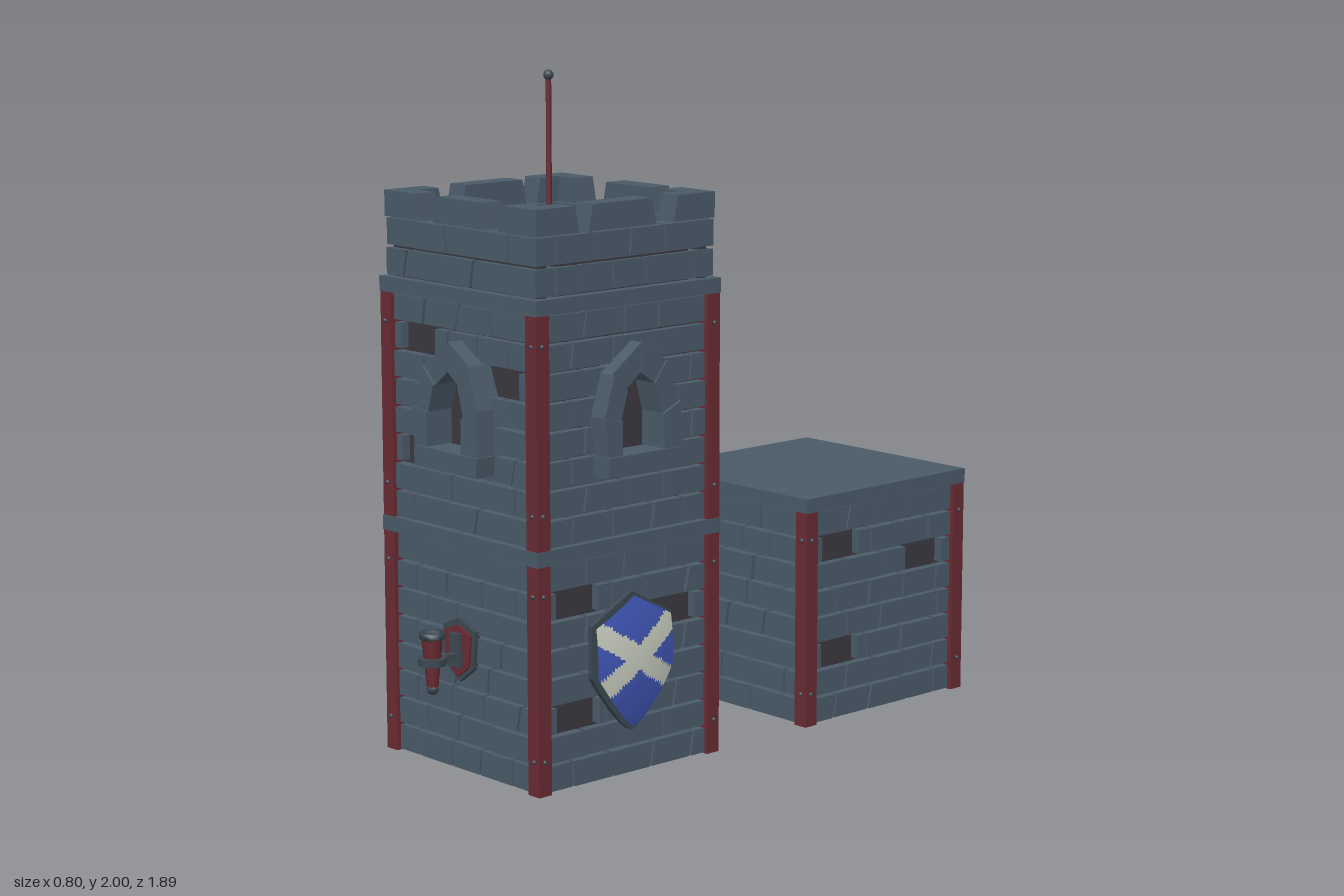
import * as THREE from 'three';
import { mergeGeometries } from 'three/addons/utils/BufferGeometryUtils.js';

const mat = (name, color, extra = {}) => Object.assign(new THREE.MeshStandardMaterial({ color, ...extra }), { name });

export function createModel() {
  const M = {
    stone: mat('slate stone', 0x4a5a68), red: mat('dark red', 0x6a2b33),
    dark: mat('dark recess', 0x3c383f), iron: mat('iron', 0x3c4852),
    blue: mat('blue', 0x4055b5, { side: THREE.DoubleSide }), cream: mat('cream', 0xc8ccbe, { side: THREE.DoubleSide }),
  };
  let seed = 7;
  const rnd = (a, b) => {
    seed = (seed * 16807) % 2147483647;
    return a + (b - a) * seed / 2147483647;
  };
  const add = (parent, name, geo, material, x = 0, y = 0, z = 0) => {
    const m = new THREE.Mesh(geo, material);
    m.name = name;
    m.position.set(x, y, z);
    parent.add(m);
    return m;
  };
  const group = (parent, name, x = 0, y = 0, z = 0) => {
    const g = new THREE.Group();
    g.name = name;
    g.position.set(x, y, z);
    parent.add(g);
    return g;
  };
  const box = (w, h, d) => new THREE.BoxGeometry(w, h, d);
  // Flat polygon extruded from z0 to z1
  const slabOf = (pts, z0, z1) => new THREE.ExtrudeGeometry(
    new THREE.Shape(pts.map(p => new THREE.Vector2(p[0], p[1]))),
    { depth: z1 - z0, bevelEnabled: false }).translate(0, 0, z0);
  const side = (parent, name, i) => {
    const g = group(parent, name);
    g.rotation.y = i * Math.PI / 2;
    return g;
  };
  const SIDES = ['front', 'right', 'back', 'left'];

  // One course of bricks with slanted, staggered joints; holes are [u0, u1]
  function course(out, y0, y1, uA, uB, z0, z1, shift, holes = []) {
    let joints = [[uA, 0]];
    for (let u = uA + 0.07 + shift; u < uB - 0.05; u += rnd(0.12, 0.16)) joints.push([u, rnd(-0.009, 0.009)]);
    joints.push([uB, 0]);
    const gap = 0.004, v = 0.0045;
    const put = (a, sa, b, sb) => {
      if (b - a < 0.02) return;
      out.push(slabOf([[a + gap - sa, y0 + v], [b - gap - sb, y0 + v], [b - gap + sb, y1 - v], [a + gap + sa, y1 - v]],
        z0, z1 - rnd(0, 0.005)));
    };
    for (let i = 0; i + 1 < joints.length; i++) {
      let spans = [[...joints[i], ...joints[i + 1]]];
      for (const [h0, h1] of holes) {
        spans = spans.flatMap(([a, sa, b, sb]) => (h1 <= a || h0 >= b) ? [[a, sa, b, sb]]
          : [[a, sa, Math.min(b, h0), 0], [Math.max(a, h1), 0, b, sb]]);
      }
      spans.forEach(s => put(...s));
    }
  }

  const ROW = 0.0825;
  const MISSING = [[6, -0.265, -0.115], [5, 0.1, 0.255], [2, -0.265, -0.115]];
  const WINDOW = [[3, -0.085, 0.09], [4, -0.085, 0.09], [5, -0.06, 0.065]];

  // Square storey: four brick walls, red corner posts, tiled slab; open underneath
  function storey(parent, name, y, holesFor) {
    const s = group(parent, name, 0, y, 0);
    SIDES.forEach((n, i) => {
      const w = side(s, n + 'Wall', i), bricks = [], holes = holesFor[i] || [];
      for (let r = 0; r < 8; r++) {
        course(bricks, r * ROW, (r + 1) * ROW, -0.3, 0.3, 0.306, 0.338, r % 2 ? 0.07 : 0.02,
          holes.filter(h => h[0] === r).map(h => [h[1], h[2]]));
      }
      add(w, n + 'Bricks', mergeGeometries(bricks), M.stone);
      const faces = [M.stone, M.stone, M.stone, M.stone, M.dark, M.stone];
      add(w, n + 'Backing', box(0.61, 0.66, 0.006), faces, 0, 0.33, 0.303);
    });
    for (const sx of [-1, 1]) for (const sz of [-1, 1]) {
      add(s, 'cornerPost', box(0.047, 0.66, 0.047), M.red, sx * 0.3225, 0.33, sz * 0.3225);
      for (const ry of [0.1, 0.575]) {
        add(s, 'rivet', new THREE.SphereGeometry(0.007, 8, 6), M.iron, sx * 0.346, ry, sz * 0.325);
        add(s, 'rivet', new THREE.SphereGeometry(0.007, 8, 6), M.iron, sx * 0.325, ry, sz * 0.346);
      }
      add(s, 'slabTile', box(0.347, 0.044, 0.347), M.stone, sx * 0.1745, 0.682, sz * 0.1745);
    }
    return s;
  }

  // Pointed arch window surround
  const ARCH = [
    [-0.075, 0.95, -0.13, 0.95], [-0.075, 1.05, -0.137, 1.06], [-0.05, 1.13, -0.1, 1.18], [0.005, 1.175, 0.01, 1.26],
    [0.055, 1.14, 0.1, 1.2], [0.08, 1.05, 0.145, 1.08], [0.08, 0.95, 0.152, 0.95]];
  function windowFrame(parent) {
    const stones = [slabOf([[-0.13, 0.89], [0.145, 0.89], [0.152, 0.948], [-0.13, 0.948]], 0.306, 0.4)];
    for (let i = 0; i < 6; i++) {
      const [a, b, c, d] = ARCH[i], [e, f, g, h] = ARCH[i + 1];
      stones.push(slabOf([[a, b], [c, d], [g, h], [e, f]], 0.306, [0.398, 0.392, 0.382, 0.385, 0.39, 0.4][i]));
    }
    add(parent, 'windowSurround', mergeGeometries(stones), M.stone);
  }

  const model = new THREE.Group();
  model.name = 'castleTower';
  const tower = group(model, 'tower', 0, 0, 0.458);
  storey(tower, 'lowerStorey', 0, { 1: MISSING });
  const upper = [0, 1, 2, 3].map(i => i === 0 ? [...MISSING, ...WINDOW] : WINDOW);
  storey(tower, 'upperStorey', 0.703, upper);
  SIDES.forEach((n, i) => windowFrame(side(tower, n + 'Window', i)));

  // Battlements: two courses and tapered merlons
  const CENTRE = [[-0.105, 0.11], [-0.135, 0.1], [-0.15, 0.06], [-0.13, 0.1]];
  SIDES.forEach((n, i) => {
    const w = side(tower, n + 'Battlement', i), bricks = [], e = i % 2 ? 0.264 : 0.335;
    course(bricks, 1.408, 1.494, -e, e, 0.264, 0.335, 0.02);
    course(bricks, 1.494, 1.58, -e, e, 0.264, 0.335, 0.07);
    for (const [a, b] of [[-e, -0.185], CENTRE[i], [0.185, e]]) {
      const ta = a === -e ? 0 : 0.008, tb = b === e ? 0 : 0.008;
      bricks.push(slabOf([[a - ta, 1.58], [b + tb, 1.58], [b - tb, 1.655], [a + ta, 1.655]], 0.264, 0.335));
    }
    add(w, n + 'BattlementStones', mergeGeometries(bricks), M.stone);
    add(w, n + 'BattlementCore', box(e * 2 - 0.03, 0.165, 0.03), M.dark, 0, 1.488, 0.3);
  });

  // Roof deck and flagpole
  add(tower, 'roofDeck', box(0.524, 0.05, 0.524), M.red, 0, 1.43, 0);
  add(tower, 'poleBase', box(0.055, 0.04, 0.055), M.red, 0, 1.475, 0);
  add(tower, 'flagpole', new THREE.CylinderGeometry(0.008, 0.008, 0.5, 10), M.red, 0, 1.73, 0);
  add(tower, 'poleBall', new THREE.SphereGeometry(0.015, 12, 8), M.iron, 0, 1.985, 0);

  // Wall torch on a shield-shaped plaque
  const torch = group(tower, 'torch', 0, 0.355, 0);
  const plaque = k => [[-0.072, 0.072], [0, 0.102], [0.072, 0.072], [0.062, -0.04], [0, -0.085], [-0.062, -0.04]].map(p => p.map(v => v * k));
  add(torch, 'plaqueRim', slabOf(plaque(1), 0.33, 0.349), M.iron);
  add(torch, 'plaqueFace', slabOf(plaque(0.82), 0.349, 0.356), M.red);
  add(torch, 'bracketBack', box(0.045, 0.1, 0.014), M.iron, 0, 0.01, 0.36);
  add(torch, 'bracketArm', box(0.022, 0.022, 0.09), M.iron, 0, -0.008, 0.4);
  const T = 0.447;
  const ring = add(torch, 'torchRing', new THREE.CylinderGeometry(0.042, 0.042, 0.022, 8), M.iron, 0, -0.008, T);
  ring.rotation.y = Math.PI / 8;
  add(torch, 'torchHandle', new THREE.CylinderGeometry(0.031, 0.016, 0.15, 8), M.red, 0, -0.015, T);
  const cup = [[0, 0.058], [0.036, 0.058], [0.038, 0.076], [0.026, 0.076], [0.022, 0.064], [0, 0.064]];
  add(torch, 'torchCup', new THREE.LatheGeometry(cup.map(p => new THREE.Vector2(...p)), 8), M.iron, 0, 0, T);
  add(torch, 'torchTip', new THREE.SphereGeometry(0.018, 10, 8), M.iron, 0, -0.088, T);

  // Bulging wall shield with a diagonal cross
  const shield = side(tower, 'shield', 1);
  const N = 32, R = 36;
  const top = s => 0.53 - 0.075 * Math.abs(s), bottom = s => 0.145 + 0.165 * Math.abs(s) ** 1.35;
  const point = (i, j, k = 1) => {
    const s = i / N * 2 - 1, y = bottom(s) + (top(s) - bottom(s)) * j / R;
    const dy = (y - 0.34) / 0.2;
    return [s * 0.143 * k, 0.34 + (y - 0.34) * k, 0.352 + 0.033 * Math.max(0, 1 - 0.5 * s * s - 0.85 * dy * dy)];
  };
  const field = [], cross = [];
  for (let i = 0; i < N; i++) for (let j = 0; j < R; j++) {
    const a = point(i, j), b = point(i + 1, j), c = point(i + 1, j + 1), d = point(i, j + 1);
    const x = (a[0] + c[0]) / 2, y = (a[1] + c[1]) / 2;
    const onCross = Math.abs(Math.abs(x) * 0.66 - Math.abs(y - 0.352)) < 0.037;
    (onCross ? cross : field).push(...a, ...b, ...c, ...a, ...c, ...d);
  }
  for (const [name, list, m] of [['shieldField', field, M.blue], ['shieldCross', cross, M.cream]]) {
    const g = new THREE.BufferGeometry();
    g.setAttribute('position', new THREE.Float32BufferAttribute(list, 3));
    g.computeVertexNormals();
    add(shield, name, g, m);
  }
  const rim = [];
  for (let i = 0; i <= N; i++) rim.push(point(i, 0, 1.06));
  for (let i = N; i >= 0; i--) rim.push(point(i, R, 1.06));
  add(shield, 'shieldRim', slabOf(rim, 0.335, 0.351), M.iron);

  // Separate square block behind the tower
  const block = group(model, 'block', 0, 0, -0.595);
  storey(block, 'blockStorey', 0, { 1: MISSING, 3: [MISSING[1]] });
  return model;
}
